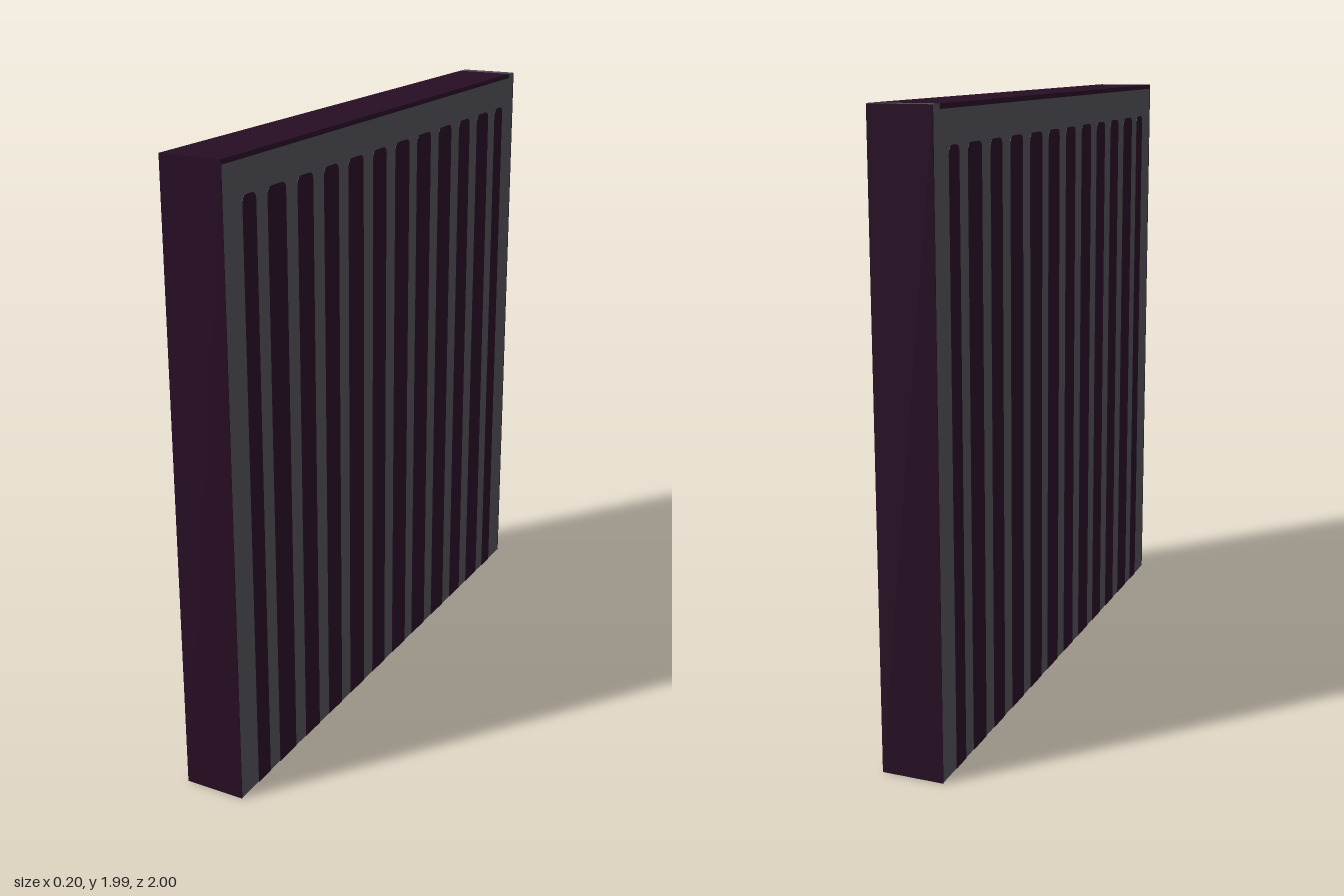
import * as THREE from 'three';

export function createModel() {
  const group = new THREE.Group();
  const grey = new THREE.MeshStandardMaterial({ color: 0x4c4b53 });
  grey.name = 'slate grey';
  const plum = new THREE.MeshStandardMaterial({ color: 0x260d23 });
  plum.name = 'dark plum';

  const W = 0.2, H = 1.985, SKIN = 0.001;

  function add(name, geometry, material) {
    const mesh = new THREE.Mesh(geometry, material);
    mesh.name = name;
    group.add(mesh);
    return mesh;
  }

  // Box given by its height range and depth range, centred on x
  function slab(name, material, width, y0, y1, z0, z1) {
    const mesh = add(name, new THREE.BoxGeometry(width, y1 - y0, z1 - z0), material);
    mesh.position.set(0, (y0 + y1) / 2, (z0 + z1) / 2);
  }

  // Grey panel, its dark top cap, and the grey strip left at the back of the top
  const inner = W - 2 * SKIN;
  slab('panel', grey, inner, SKIN, 1.97, -0.998, 0.998);
  slab('topCap', plum, W, 1.97, H, -0.955, 0.998);
  slab('topBackStrip', grey, inner, 1.97, H, -0.998, -0.955);

  // Dark plates on the narrow front and back
  slab('frontPlate', plum, W, 0, H, 0.998, 1);
  slab('backPlate', plum, W, 0, H - SKIN, -1, -0.998);

  // Round-topped stripes that pass through the panel and show on both sides and below
  const stripes = [
    [0.9, 0.83], [0.77, 0.67], [0.605, 0.515], [0.45, 0.36], [0.298, 0.2], [0.135, 0.043],
    [-0.02, -0.122], [-0.18, -0.285], [-0.348, -0.45], [-0.515, -0.605], [-0.67, -0.77], [-0.83, -0.9],
  ];
  const top = 1.87, r = 0.024;
  stripes.forEach(([z1, z0]) => {
    const a = -z1, b = -z0;
    const shape = new THREE.Shape();
    shape.moveTo(a, 0);
    shape.lineTo(b, 0);
    shape.lineTo(b, top - r);
    shape.quadraticCurveTo(b, top, b - r, top);
    shape.lineTo(a + r, top);
    shape.quadraticCurveTo(a, top, a, top - r);
    shape.closePath();
    const geometry = new THREE.ExtrudeGeometry(shape, { depth: W, bevelEnabled: false, curveSegments: 5 });
    geometry.translate(0, 0, -W / 2);
    geometry.rotateY(Math.PI / 2);
    add('stripe', geometry, plum);
  });

  return group;
}
